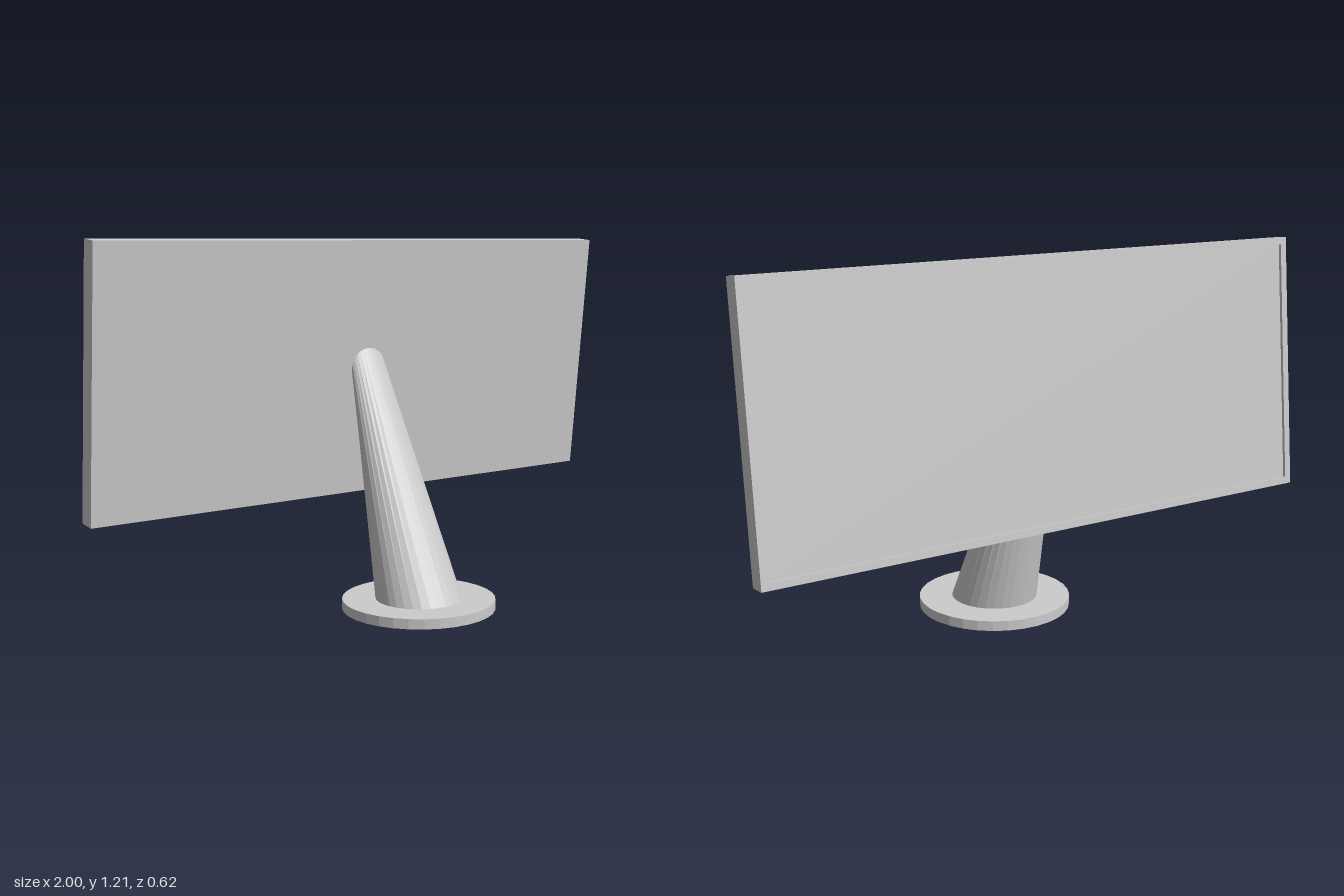
import * as THREE from 'three';

const SEGMENTS = 32;
const TILT = 0.097; // lean of the panel about x

const grey = (side = THREE.FrontSide) =>
  new THREE.MeshStandardMaterial({ color: 0xcccccc, flatShading: true, side });

// Skins a list of equally long rings of Vector3 with quads
function loft(rings) {
  const pos = [];
  const n = rings[0].length;
  for (let i = 0; i < rings.length - 1; i++) {
    for (let j = 0; j < n; j++) {
      const k = (j + 1) % n;
      const [a, b, c, d] = [rings[i][j], rings[i][k], rings[i + 1][k], rings[i + 1][j]];
      for (const p of [a, b, c, a, c, d]) pos.push(p.x, p.y, p.z);
    }
  }
  const g = new THREE.BufferGeometry();
  g.setAttribute('position', new THREE.Float32BufferAttribute(pos, 3));
  g.computeVertexNormals();
  return g;
}

// Circle around a centre, tipped about x by the given angle
function circle(x, y, z, r, tip = 0) {
  return Array.from({ length: SEGMENTS }, (_, i) => {
    const a = (i / SEGMENTS) * Math.PI * 2;
    return new THREE.Vector3(Math.sin(a) * r, 0, Math.cos(a) * r)
      .applyAxisAngle(new THREE.Vector3(1, 0, 0), tip)
      .add(new THREE.Vector3(x, y, z));
  });
}

const rectangle = (hw, hh, z) =>
  [[1, 1], [1, -1], [-1, -1], [-1, 1]].map(([x, y]) => new THREE.Vector3(x * hw, y * hh, z));

export function createModel() {
  const group = new THREE.Group();
  const add = (name, geometry, material) => {
    const mesh = new THREE.Mesh(geometry, material);
    mesh.name = name;
    group.add(mesh);
    return mesh;
  };

  const cx = 0.014, cz = 0.055, h = 0.033, inner = 0.144, outer = 0.255;

  // Flat ring foot, open in the middle
  add('base', loft([[0, inner], [0, outer], [h, outer], [h, inner], [0, inner]]
    .map(([y, r]) => circle(cx, y, cz, r))), grey());

  // Hollow leaning stand, its upper end cut to lie against the panel
  add('stand', loft([
    circle(cx, h, cz, inner),
    circle(-0.002, 0.785, -0.207, 0.067, -Math.PI / 2 + TILT),
  ]), grey(THREE.DoubleSide));

  // Panel with a shallow recessed screen on its back
  const w = 1, ph = 0.431, d = 0.0305, border = 0.024, recess = 0.01;
  const panel = add('screenPanel', loft([
    rectangle(0, 0, d),
    rectangle(w, ph, d),
    rectangle(w, ph, -d),
    rectangle(w - border, ph - border, -d),
    rectangle(w - border, ph - border, -d + recess),
    rectangle(0, 0, -d + recess),
  ]), grey());
  panel.position.set(0, 0.7815, -0.2355);
  panel.rotation.x = TILT;

  return group;
}
